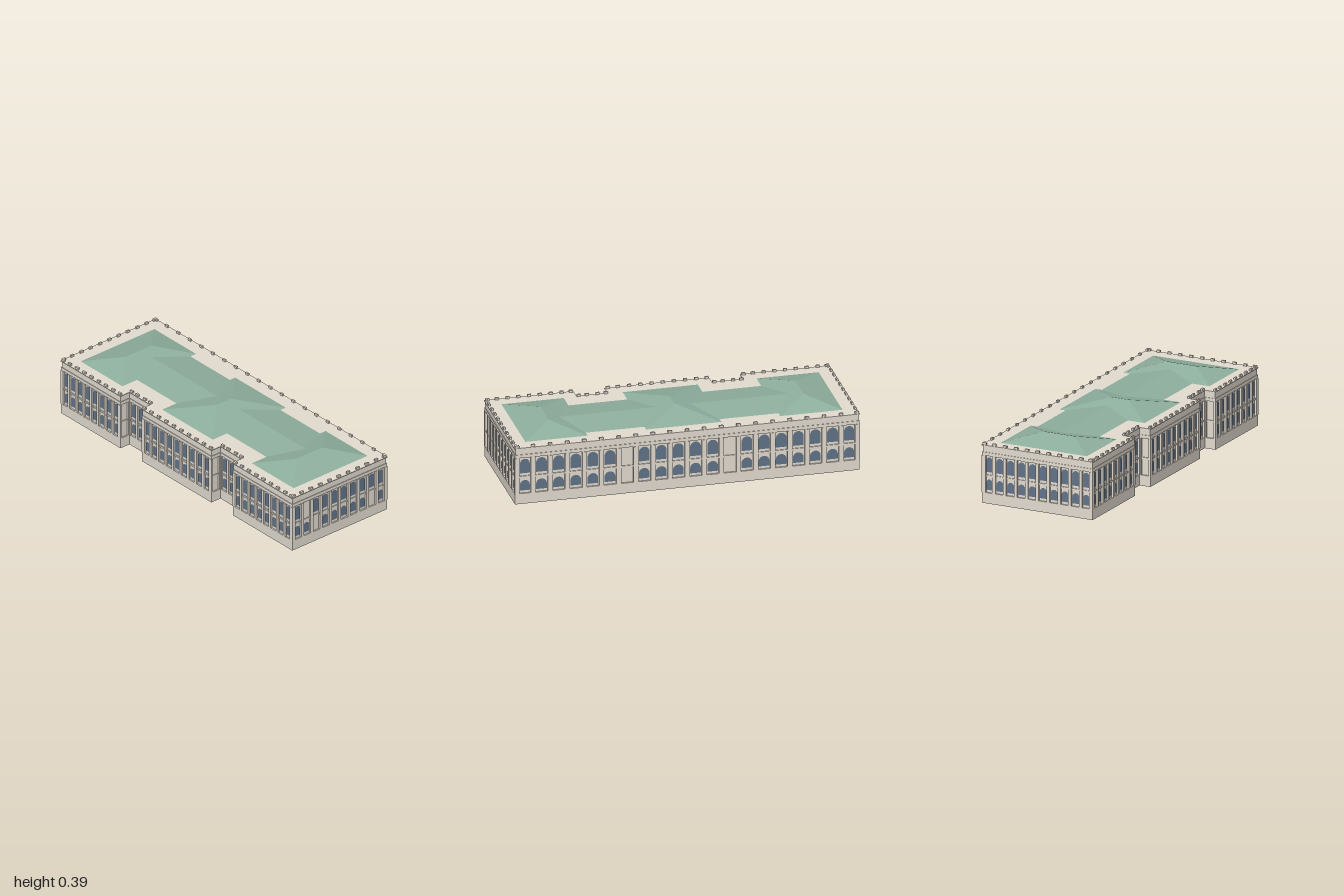
import * as THREE from 'three';
import { mergeGeometries } from 'three/addons/utils/BufferGeometryUtils.js';

const material = (name, color) => {
  const m = new THREE.MeshStandardMaterial({ color });
  m.name = name;
  return m;
};

// Half extents of the plan, the two front recesses and their back wall
const X = 0.997, Z = 0.35, IN = 0.3, OUT = 0.485, NZ = 0.283;
const FLOORS = [[0.078, 0.14], [0.183, 0.27]]; // window sill and crown heights
const EAVES = 0.342;
const WALL = -0.009; // wall plane behind the piers

// Plan outline, grown outwards by d
function footprint(d) {
  const x = X + d, z = Z + d, nz = NZ + d, i = IN + d, o = OUT - d;
  const pts = [[-x, z], [-o, z], [-o, nz], [-i, nz], [-i, z], [i, z], [i, nz],
    [o, nz], [o, z], [x, z], [x, -z], [-x, -z]];
  return pts.map(([px, pz]) => new THREE.Vector2(px, -pz));
}

// Horizontal slab of the plan between two heights, or a hollow ring of it
function layer(y0, y1, d, thickness = 0) {
  const shape = new THREE.Shape(footprint(d));
  if (thickness) shape.holes.push(new THREE.Path(footprint(d - thickness)));
  const g = new THREE.ExtrudeGeometry(shape, { depth: y1 - y0, bevelEnabled: false });
  return g.rotateX(-Math.PI / 2).translate(0, y0, 0);
}

function box(x0, x1, y0, y1, z0, z1) {
  return new THREE.BoxGeometry(x1 - x0, y1 - y0, z1 - z0)
    .translate((x0 + x1) / 2, (y0 + y1) / 2, (z0 + z1) / 2);
}

// Round-headed window pane
function arch(x, w, y0, y1) {
  const p = new THREE.Shape(), r = w / 2;
  p.moveTo(x - r, y0);
  p.lineTo(x + r, y0);
  p.lineTo(x + r, y1 - r);
  p.absarc(x, y1 - r, r, 0, Math.PI, false);
  p.lineTo(x - r, y0);
  return p;
}

// Hipped roof with its ridge along z; inset 0 leaves gable ends
function hip(w, d, inset, h) {
  const a = [-w / 2, 0, -d / 2], b = [w / 2, 0, -d / 2], c = [w / 2, 0, d / 2], e = [-w / 2, 0, d / 2];
  const r0 = [0, h, inset - d / 2], r1 = [0, h, d / 2 - inset];
  const tris = [a, e, r1, a, r1, r0, e, c, r1, c, b, r0, c, r0, r1, b, a, r0];
  const g = new THREE.BufferGeometry();
  g.setAttribute('position', new THREE.Float32BufferAttribute(tris.flat(), 3));
  g.computeVertexNormals();
  return g;
}

export function createModel() {
  const stone = material('stone', 0xe4ddd2);
  const copper = material('green roof', 0x8fb09f);
  const glass = material('window glass', 0x627489);
  const model = new THREE.Group();
  const add = (parent, name, geometry, mat) => {
    const mesh = new THREE.Mesh(geometry, mat);
    mesh.name = name;
    parent.add(mesh);
    return mesh;
  };

  // Stacked masses of the building, over a hollow plinth
  add(model, 'plinth', layer(0, 0.063, 0, 0.004), stone);
  add(model, 'floor', layer(0.061, 0.063, -0.002), stone);
  add(model, 'walls', layer(0.063, 0.28, WALL), stone);
  add(model, 'architrave', layer(0.28, 0.3, 0), stone);
  add(model, 'frieze', layer(0.3, 0.338, -0.003), stone);
  add(model, 'cornice', layer(0.338, EAVES, 0.003), stone);

  // One wall face with n bays; blanks lists the windowless bays of each floor
  function facade(name, L, n, margin, x, z, turn, blanks = [[], []], parapet = true) {
    const group = new THREE.Group();
    group.name = name;
    group.position.set(x, 0, z);
    group.rotation.y = turn;
    model.add(group);
    const pitch = (L - margin) / n, start = -pitch * n / 2, half = L / 2;
    const pw = pitch * 0.28, end = half - pw / 2 - margin;

    // Piers, widened at the ends, with a parapet block above each
    const spans = [], blocks = [];
    for (let i = 0; i <= n; i++) {
      const px = start + i * pitch;
      spans.push([i === 0 ? -half - 0.002 : px - pw / 2, i === n ? half + 0.002 : px + pw / 2]);
      const bx = THREE.MathUtils.clamp(px, 0.014 - half, half - 0.014);
      blocks.push(box(bx - 0.011, bx + 0.011, EAVES - 0.001, 0.355, -0.013, -0.002));
    }
    spans[0][1] = -end;
    spans[n][0] = end;
    const piers = spans.map(([a, b]) => box(a, b, 0.063, 0.28, WALL - 0.001, 0.002));
    add(group, 'piers', mergeGeometries(piers), stone);
    if (parapet) add(group, 'parapetBlocks', mergeGeometries(blocks), stone);

    // Windows and string courses in the bays between piers
    const panes = [], courses = [];
    for (let i = 0; i < n; i++) {
      const a = spans[i][1], b = spans[i + 1][0];
      courses.push(box(a, b, 0.157, 0.167, WALL - 0.001, WALL + 0.005));
      FLOORS.forEach(([y0, y1], f) => {
        if (!blanks[f].includes(i)) panes.push(arch((a + b) / 2, (b - a) * 0.87, y0, y1));
      });
    }
    add(group, 'stringCourses', mergeGeometries(courses), stone);
    if (panes.length) {
      add(group, 'windows', new THREE.ShapeGeometry(panes, 10).translate(0, 0, WALL + 0.001), glass);
    }
  }

  const Q = Math.PI / 2, none = [[0], [0]];
  facade('centreFront', 2 * IN, 9, 0.015, 0, Z, 0);
  for (const s of [-1, 1]) {
    const side = s > 0 ? 'left' : 'right';
    facade(side + 'WingFront', X - OUT, 8, 0.012, s * (X + OUT) / 2, Z, 0);
    facade(side + 'RecessFront', OUT - IN, 3, 0, s * (IN + OUT) / 2, NZ, 0);
    facade(side + 'RecessInnerSide', Z - NZ, 1, 0, s * IN, (Z + NZ) / 2, s * Q, none, false);
    facade(side + 'RecessOuterSide', Z - NZ, 1, 0, s * OUT, (Z + NZ) / 2, -s * Q, none, false);
  }
  facade('leftEnd', 2 * Z, 10, 0.012, X, 0, Q, [[2, 8], [1]]);
  facade('rightEnd', 2 * Z, 10, 0.012, -X, 0, -Q);
  facade('back', 2 * X, 20, 0.012, 0, -Z, Math.PI, [[6, 12], [6, 12]]);

  // Roofs: two end pavilions, a centre pavilion and the long range between
  for (const s of [-1, 1]) {
    add(model, s > 0 ? 'leftWingRoof' : 'rightWingRoof', hip(0.36, 0.545, 0.178, 0.043), copper)
      .position.set(s * 0.738, EAVES, 0);
  }
  add(model, 'centreRoof', hip(0.435, 0.54, 0.217, 0.045), copper).position.set(0, EAVES, 0);
  const range = add(model, 'rangeRoof', hip(0.395, 1.44, 0, 0.025), copper);
  range.position.set(0, EAVES, -0.033);
  range.rotation.y = Q;

  return model;
}
